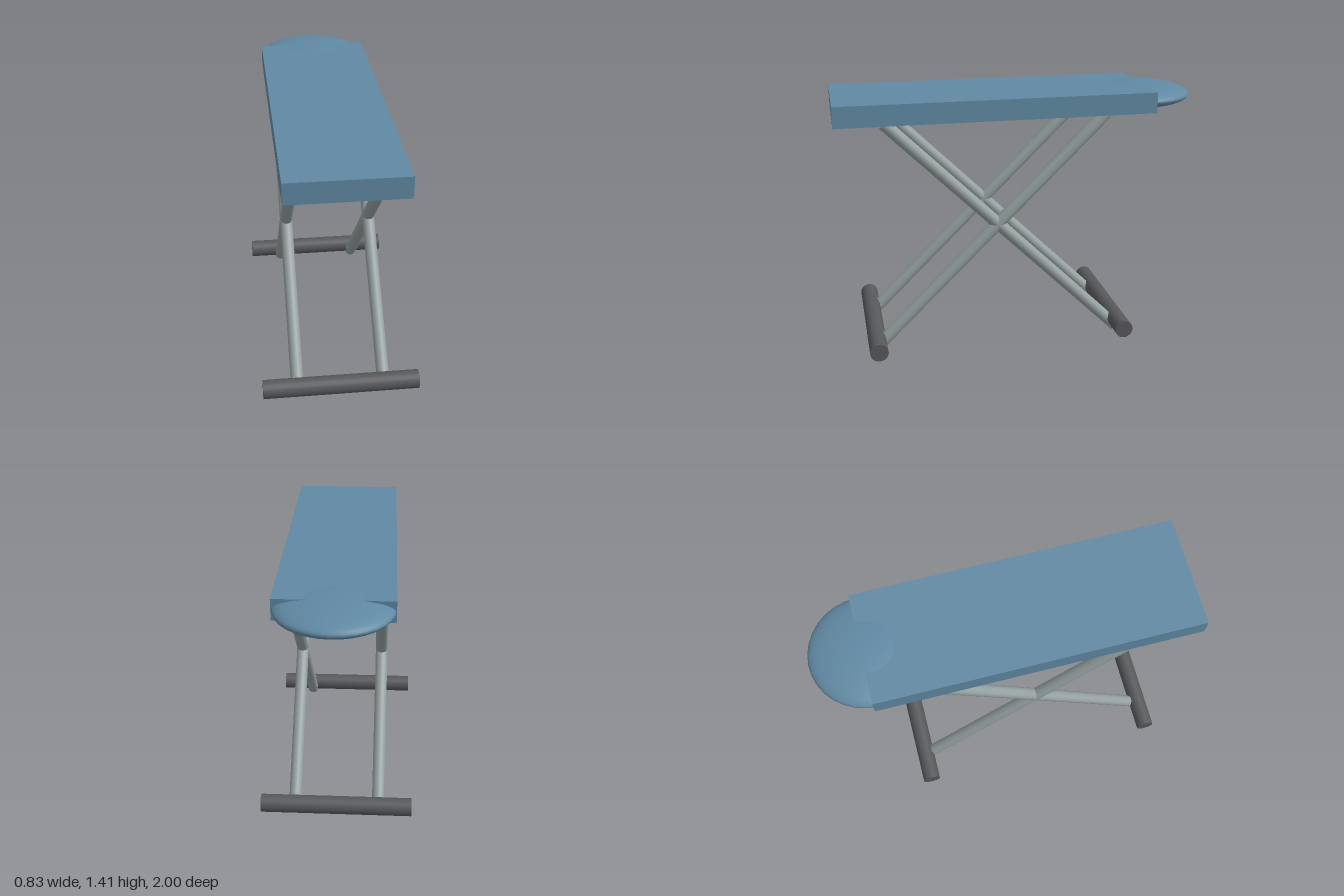
import * as THREE from 'three';

export function createModel() {
  const model = new THREE.Group();
  model.name = 'ironingBoard';
  const fabric = new THREE.MeshStandardMaterial({ name: 'blueFabric', color: 0x6089a3 });
  const steel = new THREE.MeshStandardMaterial({ name: 'greySteel', color: 0x95a0a0 });
  const rubber = new THREE.MeshStandardMaterial({ name: 'darkRubber', color: 0x57585a });

  const add = (name, geometry, material, x, y, z) => {
    const mesh = new THREE.Mesh(geometry, material);
    mesh.name = name;
    mesh.position.set(x, y, z);
    model.add(mesh);
    return mesh;
  };

  // Flat top and its rounded nose at the back
  const topY = 1.3515, boardEnd = -0.728;
  add('boardTop', new THREE.BoxGeometry(0.602, 0.113, 1 - boardEnd), fabric, 0, topY, (1 + boardEnd) / 2);
  const nose = new THREE.SphereGeometry(1, 32, 24).scale(0.3, 0.064, 0.3);
  add('boardNose', nose, fabric, 0, topY, -0.7);

  // Crossed legs on both sides, mirrored about the crossing point
  const up = new THREE.Vector3(0, 1, 0);
  const crossZ = 0.139, spread = 0.69, footY = 0.025, headY = 1.295;
  for (const side of [1, -1]) {
    for (const dir of [1, -1]) {
      const foot = new THREE.Vector3(side * 0.232, footY, crossZ + dir * spread);
      const head = new THREE.Vector3(side * 0.232, headY, crossZ - dir * 0.602);
      const axis = head.clone().sub(foot);
      const mid = foot.clone().add(head).multiplyScalar(0.5);
      const name = (side > 0 ? 'left' : 'right') + (dir > 0 ? 'FrontLeg' : 'BackLeg');
      const leg = add(name, new THREE.CylinderGeometry(0.034, 0.034, axis.length(), 24), steel, mid.x, mid.y, mid.z);
      leg.quaternion.setFromUnitVectors(up, axis.normalize());
    }
  }

  // Foot bars
  for (const dir of [1, -1]) {
    const bar = new THREE.CylinderGeometry(0.05, 0.05, 0.834, 24).rotateZ(Math.PI / 2);
    add(dir > 0 ? 'frontFootBar' : 'backFootBar', bar, rubber, 0, 0.077, crossZ + dir * spread);
  }
  return model;
}
